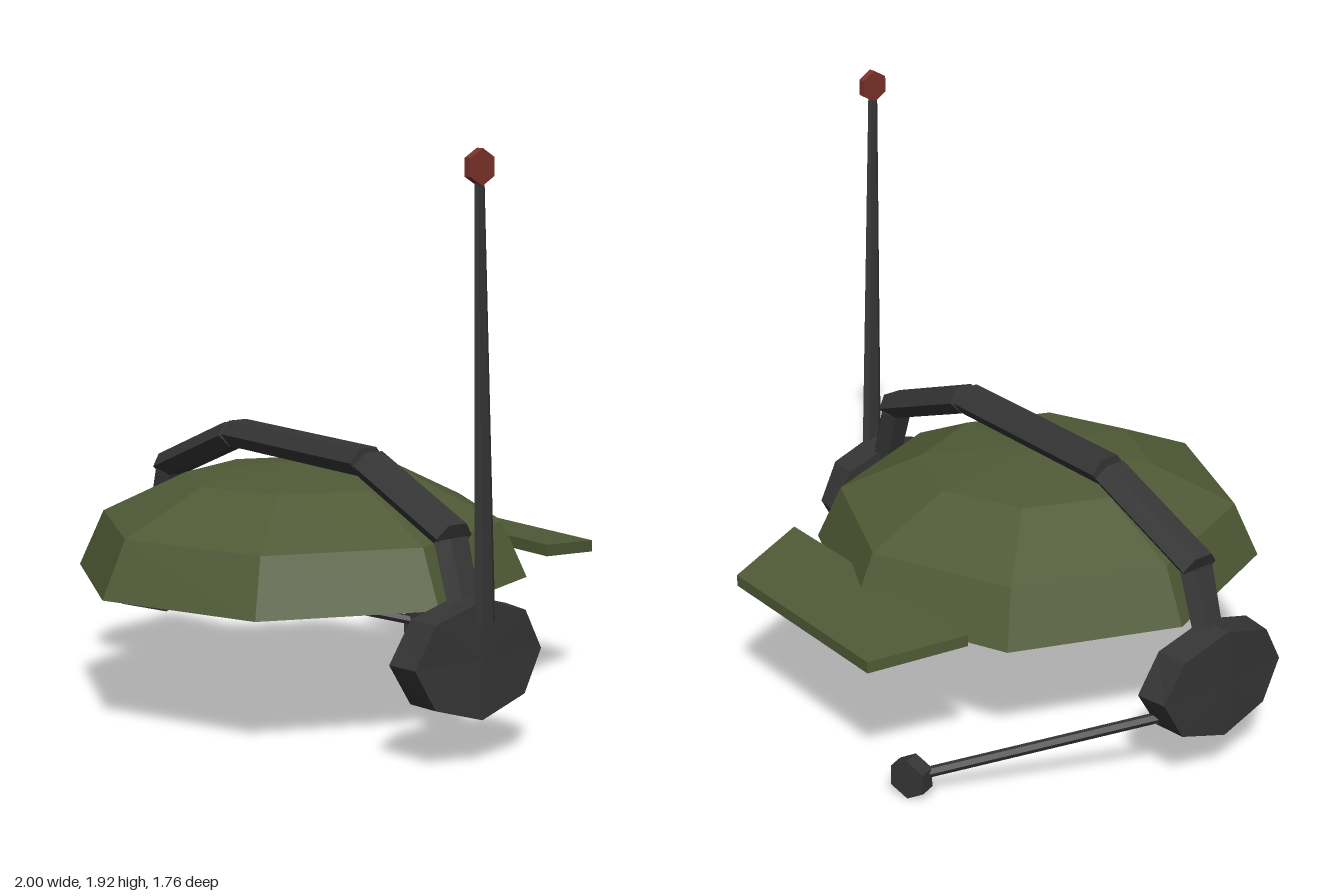
import * as THREE from 'three';

const CX = -0.03, CZ = 0.1; // centre of the cap and headband

export function createModel() {
  const group = new THREE.Group();
  const material = (name, color) => {
    const m = new THREE.MeshStandardMaterial({ color, flatShading: true });
    m.name = name;
    return m;
  };
  const olive = material('olive', 0x505a36);
  olive.side = THREE.DoubleSide; // the cap is an open shell
  const black = material('charcoal', 0x353535);
  const red = material('dull red', 0x7d322b);

  const add = (name, geometry, mat, parent = group) => {
    const flat = geometry.index ? geometry.toNonIndexed() : geometry;
    flat.computeVertexNormals();
    const mesh = new THREE.Mesh(flat, mat);
    mesh.name = name;
    parent.add(mesh);
    return mesh;
  };

  // Moves each vertex of a geometry by a rule
  const reshape = (geometry, rule) => {
    const p = geometry.attributes.position, v = new THREE.Vector3();
    for (let i = 0; i < p.count; i++) {
      rule(v.fromBufferAttribute(p, i));
      p.setXYZ(i, v.x, v.y, v.z);
    }
    return geometry;
  };

  // Hexagonal rod from a to b, squashed across x
  const rod = (name, a, b, r0, r1, squash, parent = group) => {
    const from = new THREE.Vector3(...a), to = new THREE.Vector3(...b);
    const dir = to.clone().sub(from);
    const geo = new THREE.CylinderGeometry(r1, r0, dir.length(), 6).scale(squash, 1, 1);
    const mesh = add(name, geo, black, parent);
    mesh.position.copy(from).add(to).multiplyScalar(0.5);
    mesh.quaternion.setFromUnitVectors(new THREE.Vector3(0, 1, 0), dir.normalize());
    return mesh;
  };

  // Eight-sided cap shell
  const profile = [[0.78, 0.46], [0.693, 0.65], [0.4, 0.79], [0, 0.84]]
    .map(([r, y]) => new THREE.Vector2(r, y));
  const cap = add('cap', new THREE.LatheGeometry(profile, 8).scale(0.966, 1, 1), olive);
  cap.position.set(CX, 0, CZ);

  // Tapered, sloping peak at the back
  const peak = reshape(new THREE.BoxGeometry(1, 0.04, 0.31), (v) => {
    v.x *= v.z > 0 ? 0.98 : 0.75;
    v.y += v.z * 0.13;
  });
  add('peak', peak, olive).position.set(-0.027, 0.508, -0.73);

  // Headband of five straight bars, and an ear pad on each side
  const headset = new THREE.Group();
  headset.name = 'headset';
  headset.position.set(CX, 0, CZ);
  group.add(headset);
  rod('bandTop', [-0.377, 0.886, 0], [0.377, 0.886, 0], 0.07, 0.07, 0.74, headset);
  for (const s of [-1, 1]) {
    rod('bandShoulder', [s * 0.392, 0.88, 0], [s * 0.825, 0.71, 0], 0.07, 0.07, 0.74, headset);
    rod('bandArm', [s * 0.81, 0.7, 0], [s * 0.9, 0.42, 0], 0.068, 0.06, 0.7, headset);

    // Stretched octagon, narrower outside and bent slightly toward the head
    const pad = reshape(new THREE.CylinderGeometry(1, 1, 0.113, 8).rotateZ(-Math.PI / 2), (v) => {
      const bend = 0.018 * v.z * v.z;
      v.z *= v.x > 0 ? 0.252 : 0.27;
      v.y *= 0.19;
      v.x -= bend;
      if (v.x < 0) v.x += bend * 0.4;
    });
    const ear = add(s > 0 ? 'leftEarPad' : 'rightEarPad', pad, black, headset);
    ear.position.set(s * 0.914, 0.345, 0);
    if (s < 0) ear.rotation.y = Math.PI;
  }

  // Microphone on its boom
  rod('microphoneBoom', [-0.93, 0.26, -0.05], [-0.47, 0.077, -0.757], 0.018, 0.018, 1);
  const mic = add('microphone', new THREE.CylinderGeometry(0.07, 0.07, 0.056, 6).rotateX(Math.PI / 2), black);
  mic.geometry.rotateZ(0); // hexagon points up
  mic.position.set(-0.457, 0.07, -0.762);
  mic.rotation.y = 0.37;

  // Antenna with a red tip
  rod('antenna', [0.935, 0.46, 0.09], [0.982, 1.85, 0.167], 0.042, 0.019, 0.42);
  const tip = add('antennaTip', new THREE.CylinderGeometry(0.056, 0.056, 0.026, 6)
    .rotateY(Math.PI / 2).rotateZ(Math.PI / 2), red);
  tip.position.set(0.983, 1.865, 0.167);
  tip.rotation.y = 0.06;

  return group;
}
